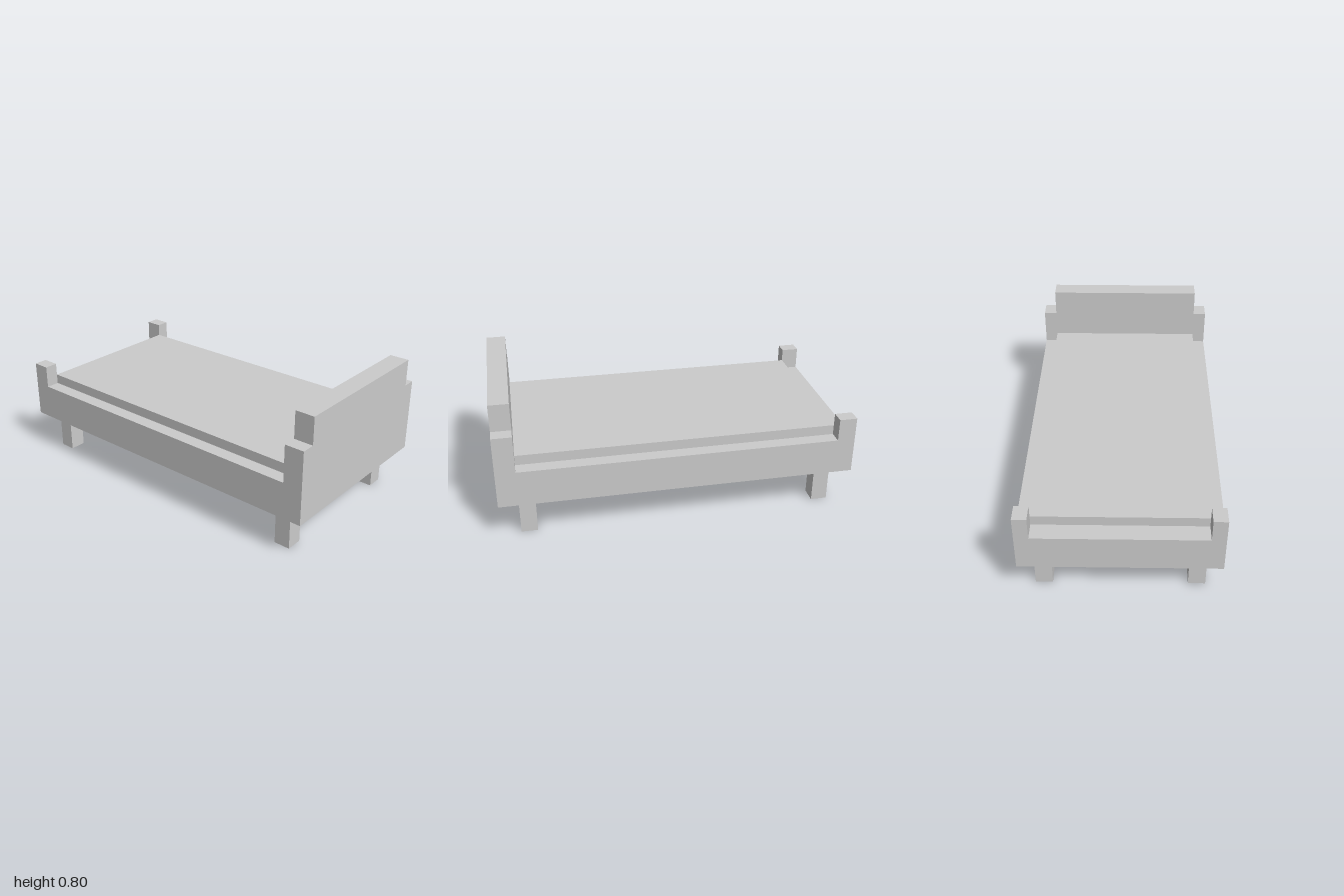
import * as THREE from 'three';

export function createModel() {
  const bed = new THREE.Group();
  bed.name = 'bed';
  const material = new THREE.MeshStandardMaterial({ color: 0xcccccc, flatShading: true });

  // Box given by its extents along each axis
  const box = (name, [x0, x1], [y0, y1], [z0, z1]) => {
    const mesh = new THREE.Mesh(new THREE.BoxGeometry(x1 - x0, y1 - y0, z1 - z0), material);
    mesh.position.set((x0 + x1) / 2, (y0 + y1) / 2, (z0 + z1) / 2);
    mesh.name = name;
    bed.add(mesh);
  };

  const foot = -0.9, head = 0.89;       // inner faces of the two ends
  const base = 0.227, rail = 0.433;     // underside and top of the frame
  const outer = 0.538, inner = 0.461;   // half widths of frame and mattress

  box('frame', [-1, head], [base, rail], [-outer, outer]);
  box('mattress', [foot, head], [rail, 0.49], [-inner, inner]);

  // Stepped headboard
  const board = new THREE.Shape([
    [-outer, base], [outer, base], [outer, 0.646], [inner, 0.646],
    [inner, 0.8], [-inner, 0.8], [-inner, 0.646], [-outer, 0.646],
  ].map(([z, y]) => new THREE.Vector2(z, y)));
  const headboard = new THREE.Mesh(
    new THREE.ExtrudeGeometry(board, { depth: 1 - head, bevelEnabled: false }), material);
  headboard.rotation.y = Math.PI / 2;
  headboard.position.x = head;
  headboard.name = 'headboard';
  bed.add(headboard);

  // Foot posts and legs, mirrored front to back
  for (const [side, s] of [['front', 1], ['back', -1]]) {
    const span = (a, b) => [Math.min(s * a, s * b), Math.max(s * a, s * b)];
    box(side + 'FootPost', [-1, foot], [rail, 0.562], span(inner, outer));
    box(side + 'FootLeg', [foot, foot + 0.092], [0, base], span(0.367, inner));
    box(side + 'HeadLeg', [head - 0.092, head], [0, base], span(0.367, inner));
  }
  return bed;
}
